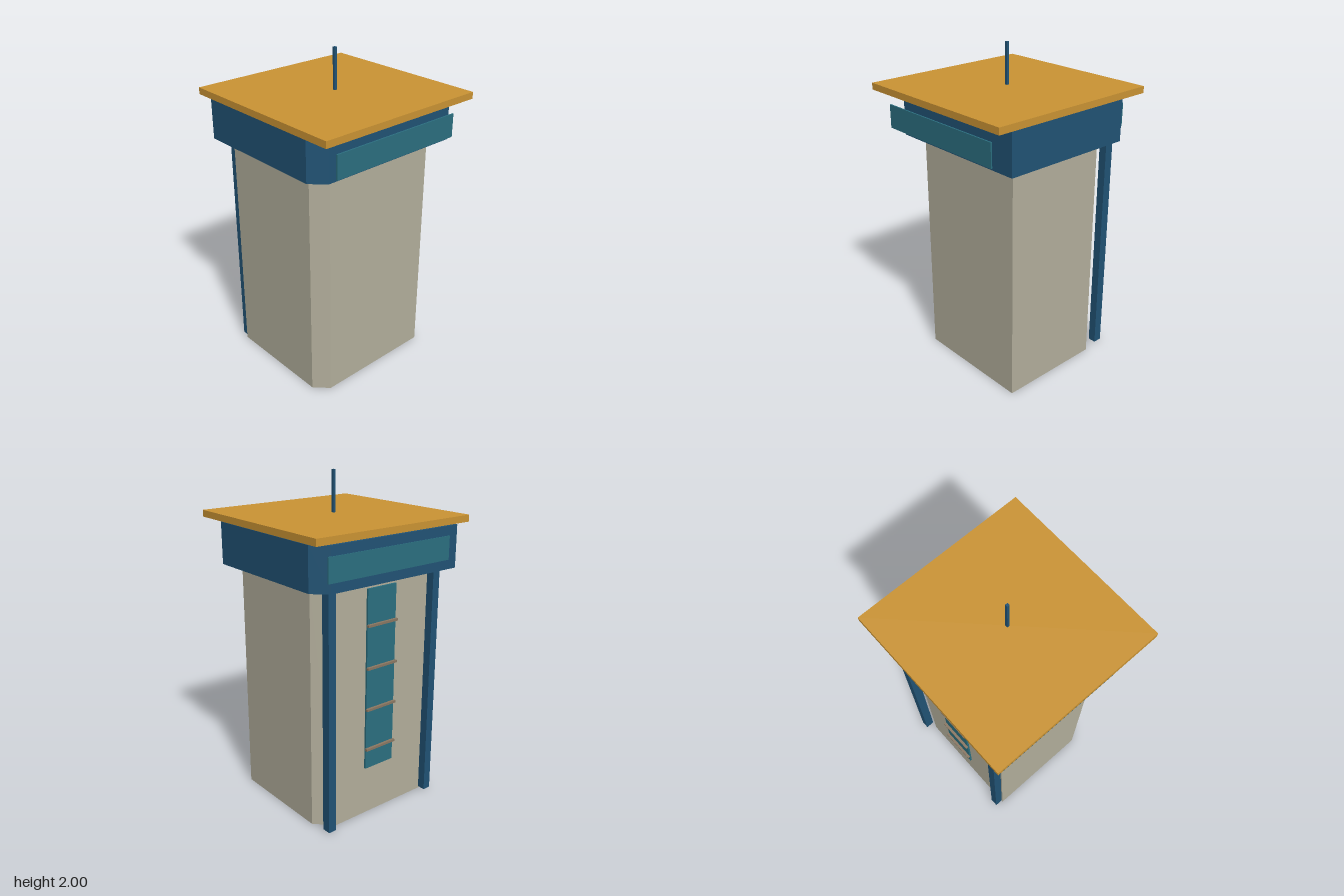
import * as THREE from 'three';

const mat = (name, color) => {
  const m = new THREE.MeshStandardMaterial({ color });
  m.name = name;
  return m;
};

export function createModel() {
  const model = new THREE.Group();
  model.name = 'booth';

  const stone = mat('stone', 0xb3af9c);
  const blue = mat('blue', 0x215375);
  const teal = mat('teal', 0x2b6f80);
  const ochre = mat('ochre', 0xcb9434);
  const bronze = mat('bronze', 0x8a7762);

  const add = (name, geometry, material, x = 0, y = 0, z = 0) => {
    const mesh = new THREE.Mesh(geometry, material);
    mesh.name = name;
    mesh.position.set(x, y, z);
    model.add(mesh);
    return mesh;
  };
  const box = (name, material, w, h, d, x, y, z) =>
    add(name, new THREE.BoxGeometry(w, h, d), material, x, y, z);

  // Upright prism from an [x, z] outline
  const prism = (name, material, outline, y0, y1) => {
    const shape = new THREE.Shape(outline.map(([x, z]) => new THREE.Vector2(x, -z)));
    const geometry = new THREE.ExtrudeGeometry(shape, { depth: y1 - y0, bevelEnabled: false });
    geometry.rotateX(-Math.PI / 2);
    return add(name, geometry, material, 0, y0, 0);
  };

  // Main body, two opposite corners cut off
  prism('body', stone, [
    [0.42, 0.34], [-0.34, 0.34], [-0.42, 0.26],
    [-0.42, -0.42], [0.32, -0.42], [0.42, -0.32],
  ], 0, 1.45);

  // Wider band on top, with the same cut corners
  prism('headerBand', blue, [
    [0.503, 0.422], [-0.422, 0.422], [-0.503, 0.341],
    [-0.503, -0.503], [0.422, -0.503], [0.503, -0.422],
  ], 1.445, 1.698);

  // Roof slab and mast
  box('roof', ochre, 1.096, 0.04, 1.096, 0, 1.735, 0);
  box('mast', blue, 0.016, 0.245, 0.016, 0, 1.8775, 0);

  // Sign plates in front and behind
  for (const [name, side] of [['frontSign', 1], ['backSign', -1]])
    box(name, teal, 0.88, 0.14, 0.009, 0, 1.572, side * 0.5035);

  // Corner posts at the back
  for (const [name, side] of [['leftPost', 1], ['rightPost', -1]])
    box(name, blue, 0.05, 1.44, 0.055, side * 0.385, 0.73, -0.4425);

  // Door panel with a row of rungs
  box('backPanel', teal, 0.21, 1.1, 0.016, 0, 0.855, -0.424);
  for (let i = 0; i < 5; i++)
    box('rung', bronze, 0.22, 0.014, 0.016, 0, 0.432 + i * 0.254, -0.44);

  return model;
}
